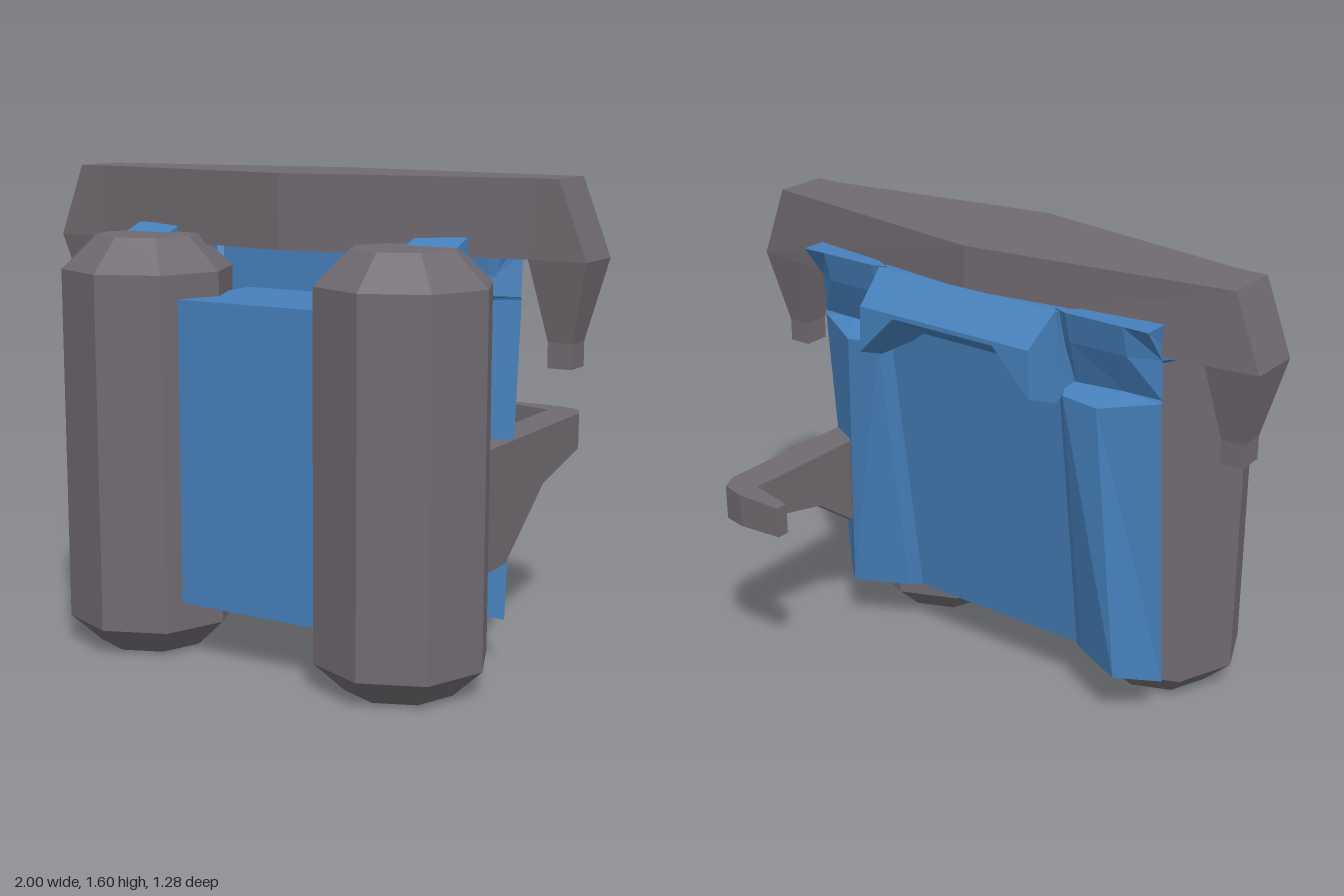
import * as THREE from 'three';

const grey = new THREE.MeshStandardMaterial({ color: 0x706a70 });
grey.name = 'warm grey';
const blue = new THREE.MeshStandardMaterial({ color: 0x4680bb });
blue.name = 'blue';

// Skins a row of equal-length rings, closes both ends, keeps facets flat.
function loft(rings) {
  const pos = [];
  const tri = (a, b, c) => pos.push(...a, ...b, ...c);
  const n = rings[0].length;
  for (let r = 0; r < rings.length - 1; r++) {
    for (let i = 0; i < n; i++) {
      const j = (i + 1) % n;
      const a = rings[r][i], b = rings[r][j], c = rings[r + 1][j], d = rings[r + 1][i];
      tri(a, b, c);
      tri(a, c, d);
    }
  }
  const cap = (ring, flip) => {
    const mid = [0, 1, 2].map(k => ring.reduce((s, p) => s + p[k], 0) / n);
    ring.forEach((p, i) => {
      const q = ring[(i + 1) % n];
      flip ? tri(mid, q, p) : tri(mid, p, q);
    });
  };
  cap(rings[0], true);
  cap(rings[rings.length - 1], false);
  // Turn every face outward if the enclosed volume is negative
  let volume = 0;
  const v = k => new THREE.Vector3().fromArray(pos, k);
  for (let k = 0; k < pos.length; k += 9) volume += v(k).dot(v(k + 3).cross(v(k + 6)));
  if (volume < 0) {
    for (let k = 0; k < pos.length; k += 9) {
      for (let m = 0; m < 3; m++) [pos[k + 3 + m], pos[k + 6 + m]] = [pos[k + 6 + m], pos[k + 3 + m]];
    }
  }
  const g = new THREE.BufferGeometry();
  g.setAttribute('position', new THREE.Float32BufferAttribute(pos, 3));
  g.computeVertexNormals();
  return g;
}

// Side profile of [z, y] points, pulled from x0 to x1
function sideProfile(points, x0, x1) {
  return loft([x0, x1].map(x => points.map(([z, y]) => [x, y, z])));
}

const mirrorRings = (rings, s) => rings.map(r => r.map(([x, y, z]) => [x * s, y, z]));

export function createModel() {
  const model = new THREE.Group();
  const add = (name, geometry, material) => {
    const mesh = new THREE.Mesh(geometry, material);
    mesh.name = name;
    model.add(mesh);
    return mesh;
  };

  // Central housing between the tanks
  add('centralHousing', sideProfile(
    [[0.5, 0.19], [0.5, 1.2], [0.03, 1.2], [0.03, 0.19]], -0.26, 0.26), blue);

  // Leaning middle panel of the back
  add('backPanel', sideProfile(
    [[0.09, 0.19], [0.03, 0.19], [-0.11, 1.2], [-0.145, 1.455], [0.09, 1.455]], -0.36, 0.36), blue);

  // Neck cushion: flat sloping top, drooping ends, hollow underneath
  const cushionEnd = s => [[0.355 * s, 1.46, -0.15], [0.338 * s, 1.36, -0.27], [0.345 * s, 1.2, -0.27],
    [0.36 * s, 1.15, -0.146], [0.37 * s, 1.2, -0.055]];
  const cushionMid = s => [[0.2 * s, 1.46, -0.15], [0.2 * s, 1.36, -0.27], [0.2 * s, 1.345, -0.27],
    [0.2 * s, 1.24, -0.1], [0.2 * s, 1.24, -0.05]];
  add('neckCushion', loft([cushionEnd(-1), cushionMid(-1), cushionMid(1), cushionEnd(1)]), blue);

  // Crossbar, widest in the middle
  const barRing = (y, end) => [[0, 0.305], [0.81, 0.17], [end, 0.17], [end, -0.02], [0, -0.15],
    [-end, -0.02], [-end, 0.17], [-0.81, 0.17]].map(([x, z]) => [x, y, z]);
  add('crossbar', loft([barRing(1.355, 1), barRing(1.6, 0.905)]), grey);

  const rect = (y, x0, x1, z0, z1) => [[x0, y, z0], [x1, y, z0], [x1, y, z1], [x0, y, z1]];
  for (const s of [1, -1]) {
    const side = s > 0 ? 'left' : 'right';

    // Eight-sided tank with bevelled ends
    const profile = [[0, 0], [0.185, 0], [0.286, 0.095], [0.286, 1.28], [0.172, 1.39], [0, 1.39]]
      .map(([r, y]) => new THREE.Vector2(r, y));
    const tankShape = new THREE.LatheGeometry(profile, 8).toNonIndexed();
    tankShape.computeVertexNormals();
    add(side + 'Tank', tankShape, grey).position.set(0.485 * s, 0, 0.355);

    // Strap running over the tank top
    const strap = [[0.295, 1.385], [0.21, 1.415], [0, 1.415], [0, 1.28], [0.16, 1.28]];
    add(side + 'TankStrap', sideProfile(strap, 0.45 * s, 0.625 * s), blue);

    // Tapered back pad, notched under its overhanging shoulder lip
    add(side + 'BackPad', loft(mirrorRings([
      [[0.45, 0.19, 0.08], [0.69, 0.16, 0.03], [0.57, 0.19, -0.09], [0.382, 0.19, 0], [0.343, 0.19, 0.03]],
      [[0.45, 1.2, 0.08], [0.69, 1.2, -0.055], [0.51, 1.17, -0.145], [0.38, 1.18, -0.14], [0.34, 1.16, -0.1]],
      [[0.5, 1.22, 0.08], [0.69, 1.21, -0.05], [0.56, 1.21, -0.055], [0.38, 1.2, -0.06], [0.34, 1.2, -0.06]],
      [[0.67, 1.3, 0.09], [0.69, 1.345, -0.06], [0.6, 1.355, -0.12], [0.39, 1.355, -0.12], [0.34, 1.355, -0.1]],
      [[0.69, 1.46, 0.05], [0.69, 1.46, -0.15], [0.6, 1.46, -0.15], [0.39, 1.46, -0.15], [0.34, 1.46, -0.13]],
    ], s)), blue);

    // Prong hanging from the crossbar end
    add(side + 'Prong', loft(mirrorRings([
      rect(1.355, 0.81, 1, -0.02, 0.17),
      rect(1.1, 0.86, 0.94, 0.025, 0.12),
      rect(1.02, 0.86, 0.94, 0.025, 0.12),
    ], s)), grey);
  }

  // Control arm reaching backward, its grip bent inward
  const armRing = ([xo, zo, xi, zi, low]) =>
    [[xo, 0.75, zo], [xi, 0.75, zi], [xi, low, zi], [xo, low, zo]];
  add('controlArm', loft([
    [0.69, 0.155, 0.57, 0.155, 0.35],
    [0.69, 0.03, 0.57, 0.03, 0.35],
    [0.69, -0.26, 0.57, -0.26, 0.56],
    [0.69, -0.555, 0.57, -0.555, 0.625],
    [0.66, -0.62, 0.567, -0.56, 0.63],
    [0.57, -0.643, 0.56, -0.563, 0.635],
    [0.4, -0.643, 0.4, -0.6, 0.645],
  ].map(armRing)), grey);

  return model;
}
